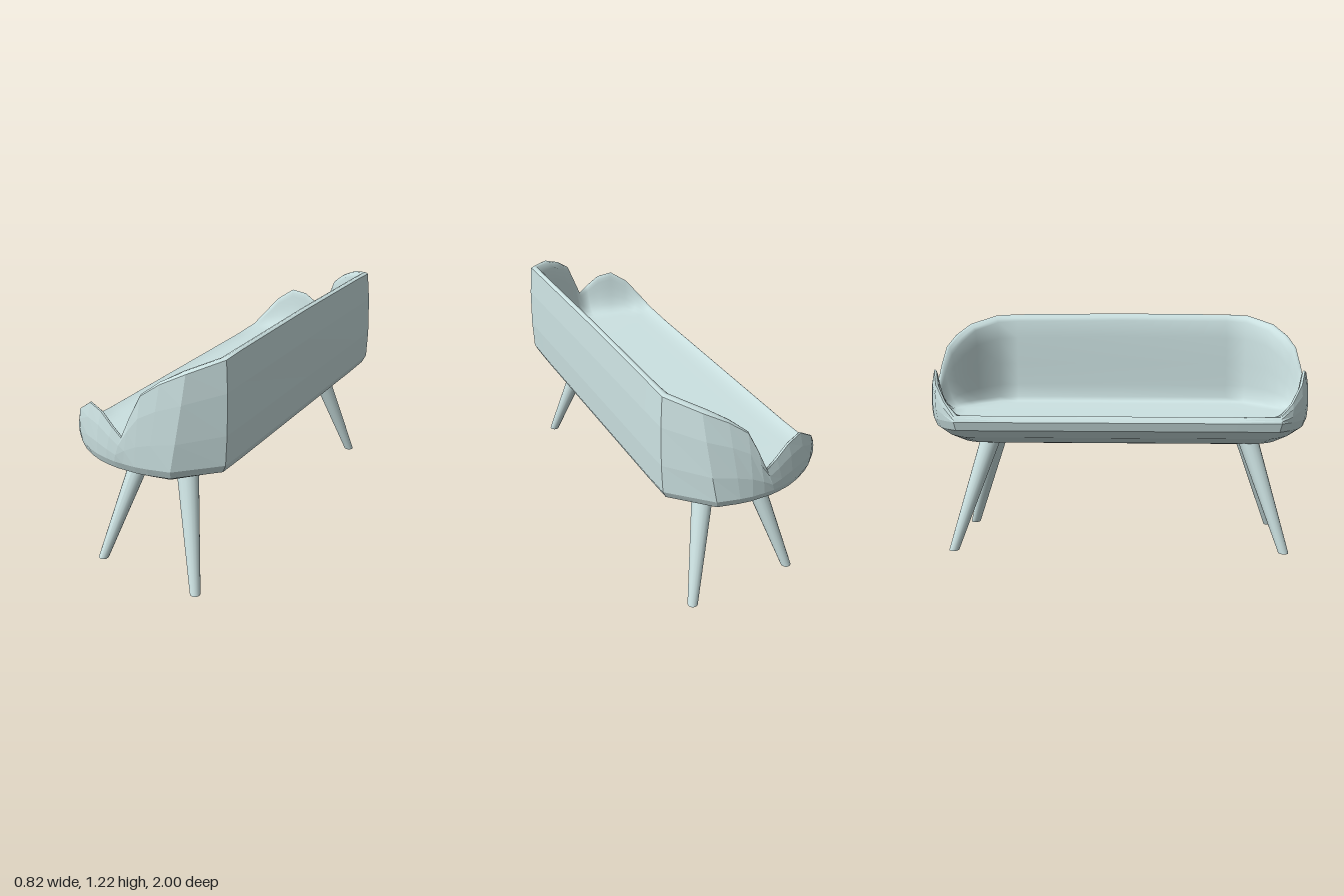
import * as THREE from 'three';

// Half outline from the middle of the back to the middle of the front edge:
// [belly x, belly z, rim x, rim y, rim z]
const HALF = [
  [0.403, 0, 0.393, 1.207, 0],
  [0.403, 0.6, 0.393, 1.202, 0.6],
  [0.40, 0.76, 0.39, 1.195, 0.73],
  [0.225, 0.94, 0.27, 1.15, 0.865],
  [0.12, 0.972, 0.17, 1.10, 0.92],
  [0.06, 0.985, 0.09, 1.04, 0.955],
  [0.0, 0.99, 0.045, 0.94, 0.977],
  [-0.05, 0.993, 0.0, 0.83, 0.993],
  [-0.10, 0.988, -0.05, 0.87, 0.99],
  [-0.16, 0.978, -0.12, 0.922, 0.977],
  [-0.23, 0.955, -0.20, 0.938, 0.955],
  [-0.30, 0.92, -0.29, 0.873, 0.927],
  [-0.36, 0.87, -0.35, 0.79, 0.875],
  [-0.408, 0.815, -0.392, 0.725, 0.81],
  [-0.41, 0.6, -0.388, 0.721, 0.6],
  [-0.41, 0, -0.388, 0.721, 0],
];
const COLUMNS = [
  ...HALF,
  ...HALF.slice(1, -1).reverse().map(([a, b, c, d, e]) => [a, -b, c, d, -e]),
];
const SEAT_Y = 0.71, BELLY_Y = 0.695, CORE_X = -0.02, CORE_Z = 0.6;
const { clamp, lerp, smoothstep } = THREE.MathUtils;
const coreZ = (z) => clamp(z, -CORE_Z, CORE_Z);

// Closed surface strip through rings of equal point count
function loft(rings) {
  const n = rings[0].length, index = [];
  for (let r = 0; r < rings.length - 1; r++) {
    for (let i = 0; i < n; i++) {
      const j = (i + 1) % n;
      const a = r * n + i, b = r * n + j, c = b + n, d = a + n;
      index.push(a, d, c, a, c, b);
    }
  }
  const g = new THREE.BufferGeometry();
  g.setAttribute('position', new THREE.Float32BufferAttribute(rings.flat(2), 3));
  g.setIndex(index);
  g.computeVertexNormals();
  return g;
}

// Faceted outside: flat underside, rounded belly, walls up to the rim
function outerRings() {
  // [height, scale towards the back, towards the front, towards the ends]
  const under = [
    [0.54, 0.27, 0.24, 0.75],
    [0.562, 0.53, 0.53, 0.82],
    [0.61, 0.78, 0.86, 0.91],
    [0.652, 0.95, 0.975, 0.98],
  ];
  const rings = [COLUMNS.map(([, z]) => [0, 0.538, coreZ(z) * 0.8])];
  for (const [y, back, front, ends] of under) {
    // corners stay squarer than the rounded ends
    rings.push(COLUMNS.map(([x, z]) => [x * (x > 0 ? back : front), y, z * lerp(ends, 1, Math.abs(x))]));
  }
  rings.push(COLUMNS.map(([x, z]) => [x, BELLY_Y, z]));
  for (const t of [0.3, 0.7]) {
    rings.push(COLUMNS.map(([x, z, rx, ry, rz]) => {
      const bulge = 0.045 * t * (1 - t) * Math.min(1, (ry - BELLY_Y) * 4);
      const px = lerp(x, rx, t), pz = lerp(z, rz, t);
      const dz = pz - coreZ(pz), len = Math.hypot(px, dz);
      return [px + px / len * bulge, lerp(BELLY_Y, ry, t), pz + dz / len * bulge];
    }));
  }
  rings.push(COLUMNS.map(([, , x, y, z]) => [x, y, z]));
  return rings;
}

// Smooth inside: thick rolled back and thin bowl-like arms, running into the seat
function innerRings() {
  // [inward offset, height fraction above seat, extra height] for the back, then for arms and front
  const steps = [
    [0, 1, 0, 0, 1, 0],
    [0.012, 1, 0.009, 0.006, 1, 0.003],
    [0.026, 1, 0.003, 0.012, 0.98, 0.001],
    [0.034, 0.975, 0, 0.017, 0.93, 0],
    [0.05, 0.94, 0, 0.022, 0.84, 0],
    [0.058, 0.75, 0, 0.030, 0.64, 0],
    [0.062, 0.45, 0, 0.044, 0.40, 0],
    [0.065, 0.2, 0, 0.062, 0.20, 0],
    [0.071, 0.06, 0, 0.085, 0.08, 0],
    [0.088, 0.012, 0, 0.11, 0.02, 0],
    [0.15, 0, 0, 0.16, 0, 0],
  ];
  const rings = steps.map(([bo, bf, bu, ao, af, au]) => COLUMNS.map(([, , x, y, z]) => {
    const back = smoothstep(x, 0, 0.26);
    const dx = CORE_X - x, dz = coreZ(z) - z, len = Math.hypot(dx, dz);
    const ux = dx / len, uz = dz / len;
    const d = lerp(ao, bo, back) * (1 + 0.7 * back * Math.abs(ux * uz));
    const h = (y - SEAT_Y) * lerp(af, bf, back) + lerp(au, bu, back);
    return [x + ux * d, SEAT_Y + h, z + uz * d];
  }));
  rings.push(COLUMNS.map(([, , , , z]) => [CORE_X, SEAT_Y, coreZ(z)]));
  return rings;
}

// Tapered leg, sheared so that its foot stays level
function legGeometry(sx, sz) {
  const h = 0.56;
  const g = new THREE.CylinderGeometry(0.054, 0.026, h, 16);
  g.translate(0, h / 2, 0);
  const p = g.attributes.position;
  for (let i = 0; i < p.count; i++) {
    const t = p.getY(i) / h;
    p.setX(i, p.getX(i) + sx * lerp(0.284, 0.135, t));
    p.setZ(i, p.getZ(i) + sz * lerp(0.859, 0.683, t));
  }
  g.computeVertexNormals();
  return g;
}

export function createModel() {
  const model = new THREE.Group();
  model.name = 'bench';
  const color = 0xcce2e2;
  const smooth = new THREE.MeshStandardMaterial({ color });
  const faceted = new THREE.MeshStandardMaterial({ color, flatShading: true });
  const add = (name, geometry, material) => {
    const mesh = new THREE.Mesh(geometry, material);
    mesh.name = name;
    model.add(mesh);
  };

  add('outerShell', loft(outerRings()), faceted);
  add('seatAndInnerShell', loft(innerRings()), smooth);
  for (const [sx, side] of [[-1, 'front'], [1, 'back']]) {
    for (const [sz, end] of [[1, 'Near'], [-1, 'Far']]) add(`${side}Leg${end}`, legGeometry(sx, sz), smooth);
  }
  return model;
}
